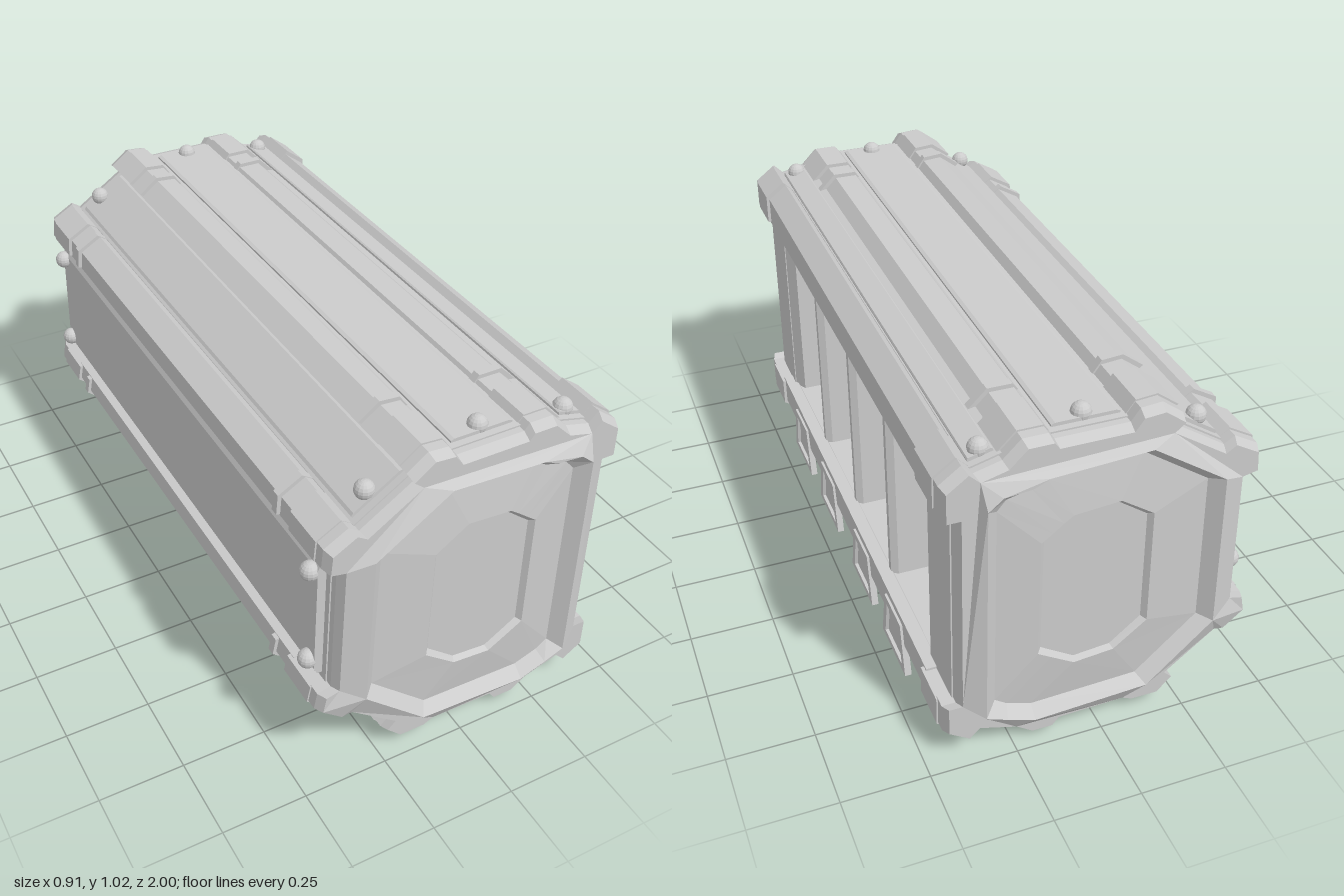
import * as THREE from 'three';

const mat = new THREE.MeshStandardMaterial({ color: 0xcccccc, flatShading: true });
const V = (list) => list.map(([x, y]) => new THREE.Vector2(x, y));
const scaled = (pts, s) => pts.map(([x, y]) => [0.02 + (x - 0.02) * s, 0.5 + (y - 0.5) * s]);

// raised corner ridges, counter-clockwise from the upper corner of the open side
const ridges = [
  [[.41, .82], [.45, .82], [.45, .91], [.39, .955], [.36, .925]],
  [[.285, .945], [.235, .995], [.165, .995], [.15, .975]],
  [[-.055, .975], [-.08, 1.01], [-.14, 1.015], [-.2, .97], [-.17, .945]],
  [[-.33, .84], [-.36, .86], [-.43, .82], [-.435, .76], [-.39, .75]],
  [[-.40, .32], [-.44, .31], [-.45, .26], [-.39, .21], [-.36, .215]],
  [[-.21, .095], [-.235, .07], [-.19, .025], [-.11, .025], [-.08, .04]],
  [[.12, .035], [.14, .01], [.2, .01], [.25, .045]],
  [[.36, .08], [.39, .05], [.45, .09], [.45, .18], [.41, .18]],
];
const outline = ridges.flat();
const base = ridges.flatMap((r) => [r[0], r[r.length - 1]]);
const bayWall = [[-.2, .18], [-.35, .32], [-.35, .75], [-.2, .82]];

// end face loops: recess rim, recess floor, centre panel
const rim = [[-.095, .915], [.18, .90], [.225, .88], [.30, .873], [.34, .84], [.34, .155],
  [.28, .13], [.2, .10], [-.13, .115], [-.32, .29], [-.31, .77]].reverse();
const floor = [[-.085, .89], [.175, .875], [.215, .855], [.28, .84], [.305, .81], [.305, .18],
  [.27, .155], [.2, .13], [-.11, .14], [-.285, .3], [-.275, .76]].reverse();
const centre = [[-.025, .765], [.105, .755], [.13, .737], [.16, .713], [.19, .69], [.19, .32],
  [.15, .295], [.085, .255], [-.03, .265], [-.125, .34], [-.12, .70]].reverse();

function slab(pts, z0, z1) {
  const g = new THREE.ExtrudeGeometry(new THREE.Shape(V(pts)), { depth: z1 - z0, bevelEnabled: false });
  return g.translate(0, 0, z0);
}

// upright prism from an (x, z) section
function upright(pts, y0, y1) {
  return slab(pts.map(([x, z]) => [x, -z]), y0, y1).rotateX(-Math.PI / 2);
}

function endCap(side) {
  const tri = [];
  const strip = (a, za, b, zb) => a.forEach((p, i) => {
    const j = (i + 1) % a.length;
    tri.push([...p, za], [...a[j], za], [...b[j], zb]);
    tri.push([...p, za], [...b[j], zb], [...b[i], zb]);
  });
  const face = (pts, hole, z, zHole) => {
    const rings = hole ? [V(hole)] : [];
    const all = hole ? [...pts, ...hole] : pts;
    for (const f of THREE.ShapeUtils.triangulateShape(V(pts), rings)) {
      const [a, b, c] = f.map((k) => [...all[k], k < pts.length ? z : zHole]);
      const area = (b[0] - a[0]) * (c[1] - a[1]) - (b[1] - a[1]) * (c[0] - a[0]);
      tri.push(a, ...(area > 0 ? [b, c] : [c, b]));
    }
  };
  const outer = scaled(outline, 0.99), front = scaled(outline, 0.965);
  const inner = centre.map(([x, y]) => [.035 + (x - .035) * .92, .51 + (y - .51) * .96]);
  strip(outer, .9, outer, .94);
  strip(outer, .94, front, .97);
  face(front, rim, .97, 1);
  strip(rim, 1, floor, .965);
  strip(floor, .965, centre, .98);
  strip(centre, .98, inner, .965);
  face(inner, null, .965);
  if (side < 0) for (let i = 0; i < tri.length; i += 3) [tri[i + 1], tri[i + 2]] = [tri[i + 2], tri[i + 1]];
  const g = new THREE.BufferGeometry();
  g.setAttribute('position', new THREE.Float32BufferAttribute(
    tri.flatMap(([x, y, z]) => [x, y, z * side]), 3));
  g.computeVertexNormals();
  return g;
}

export function createModel() {
  const model = new THREE.Group();
  const add = (name, geo, parent = model) => {
    const m = new THREE.Mesh(geo, mat);
    m.name = name;
    parent.add(m);
    return m;
  };
  // slab placed at both ends of the length
  const both = (name, pts, z0, z1) => {
    add(name, slab(pts, z0, z1));
    add(name, slab(pts, -z1, -z0));
  };

  // shell open on one side, with solid ends
  add('shell', slab([...base, ...bayWall], -.75, .75));
  both('endBlock', base, .75, .92);
  add('frontCap', endCap(1));
  add('backCap', endCap(-1));

  // corner rails with end clamps and thin bands
  ridges.forEach((r, i) => {
    add('cornerRail', slab(scaled(r, .978), -.8, .8));
    both('cornerClamp', r, .78, .91);
    if (i > 0 && i < 7) both('railBand', scaled(r, 1.002), .69, .715);
  });

  // raised plates between the corner rails
  for (let i = 0; i < 7; i++) {
    const a = ridges[i][ridges[i].length - 1], b = ridges[i + 1][0];
    const dx = b[0] - a[0], dy = b[1] - a[1], len = Math.hypot(dx, dy);
    const n = [dy / len, -dx / len], h = i === 3 ? .025 : .01;
    const at = (t, k) => [a[0] + dx * t + n[0] * k, a[1] + dy * t + n[1] * k];
    add('sidePlate', slab([at(.05, -.01), at(.05, h * .6), at(.1, h), at(.9, h), at(.95, h * .6), at(.95, -.01)], -.9, .9));
  }

  // bay dividers with chamfered front edges, and end posts
  const wall = [[.385, .18], ...bayWall, [.385, .82]];
  for (const z of [-.365, 0, .365]) {
    add('divider', slab(wall, z - .022, z + .022));
    add('dividerEdge', upright([[.385, z - .022], [.405, z - .01], [.405, z + .01], [.385, z + .022]], .18, .82));
  }
  both('bayEnd', wall, .71, .75);
  for (const s of [-1, 1]) {
    add('bayPost', upright([[.385, s * .71], [.41, s * .755], [.385, s * .755]], .18, .82));
  }

  // tapered feet with a sunken panel
  const trapezoid = [[-.108, 0], [.108, 0], [.073, .165], [-.073, .165]];
  const panel = [[-.078, .02], [.078, .02], [.053, .14], [-.053, .14]];
  for (const z of [.535, .195, -.19, -.515]) {
    const foot = new THREE.Group();
    foot.name = 'foot';
    const frame = new THREE.Shape(V(trapezoid));
    frame.holes.push(new THREE.Path(V(panel)));
    add('footFrame', new THREE.ExtrudeGeometry(frame, { depth: .02, bevelEnabled: false }), foot);
    add('footPanel', slab(panel, 0, .01), foot);
    foot.rotation.y = Math.PI / 2;
    foot.position.set(.428, 0, z);
    model.add(foot);
  }

  // domed bolts near both ends
  const bolts = [[.05, .985], [.32, .945], [-.275, .9], [-.425, .695], [-.43, .385],
    [-.3, .14], [.01, .035], [.295, .06]];
  for (const [x, y] of bolts) {
    for (const z of [-.875, .875]) {
      add('bolt', new THREE.SphereGeometry(.028, 14, 10)).position.set(x, y, z);
    }
  }
  return model;
}
